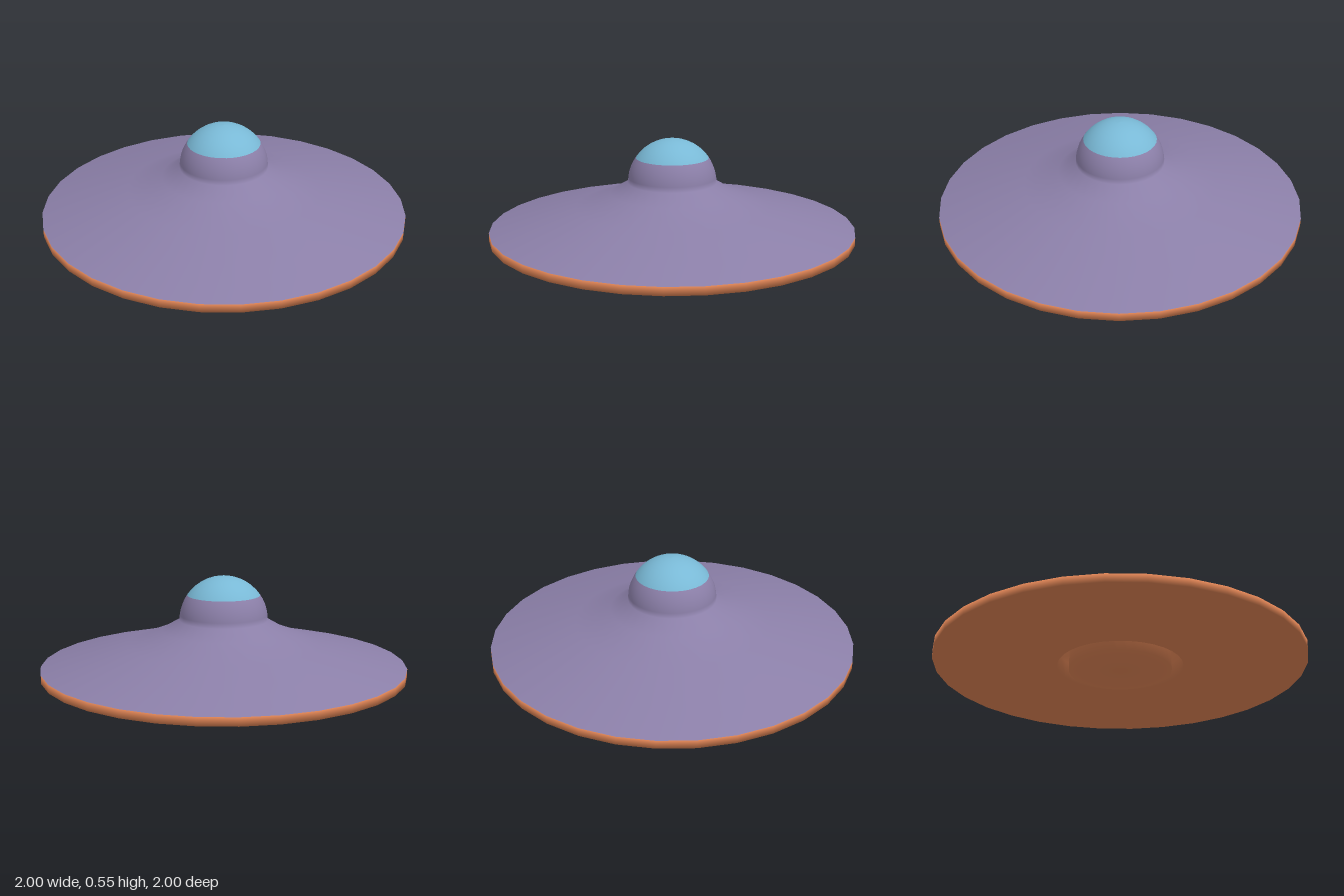
import * as THREE from 'three';

const SEGMENTS = 32;

const purple = new THREE.MeshStandardMaterial({ color: 0x8b7fa8 });
purple.name = 'purple hull';
const orange = new THREE.MeshStandardMaterial({ color: 0xd98052 });
orange.name = 'orange trim';
const blue = new THREE.MeshStandardMaterial({ color: 0x79b9d6 });
blue.name = 'blue glass';

// Points on the cabin sphere between two elevation angles
const CABIN_Y = 0.312;
const CABIN_R = 0.242;
const GLASS_ANGLE = 0.607;
function cabinArc(from, to, steps) {
  return Array.from({ length: steps + 1 }, (_, i) => {
    const a = from + ((to - from) * i) / steps;
    return [CABIN_R * Math.cos(a), CABIN_Y + CABIN_R * Math.sin(a)];
  });
}

// Each part is a stretch of [radius, height] profile, starting where the last one ends
const PARTS = [
  // Landing hub, sunk in a round well
  ['hub', orange, [[0, 0], [0.276, 0], [0.276, 0.12]]],
  ['hubWell', orange, [[0.276, 0.12], [0.339, 0.12], [0.339, 0.025]]],
  // Flat underside and thin rim band
  ['underside', orange, [[0.339, 0.025], [1, 0.02]]],
  ['rim', orange, [[1, 0.02], [1, 0.065]]],
  // Sloping upper hull
  ['upperHull', purple, [[1, 0.065], [0.53, 0.182], [0.34, 0.255], [0.242, 0.312]]],
  // Round cabin with a glass cap
  ['cabinWall', purple, cabinArc(0, GLASS_ANGLE, 5)],
  ['glassDome', blue, cabinArc(GLASS_ANGLE, Math.PI / 2, 7)],
];

export function createModel() {
  const model = new THREE.Group();
  model.name = 'flyingSaucer';

  // Revolve the whole profile once, so normals flow smoothly from part to part
  const profile = PARTS.flatMap(([, , points], i) => (i ? points.slice(1) : points));
  const body = new THREE.LatheGeometry(profile.map(([r, y]) => new THREE.Vector2(r, y)), SEGMENTS);
  const rows = profile.length - 1;
  const indices = Array.from(body.index.array);

  // Cut the revolved surface into its coloured parts
  let firstRow = 0;
  for (const [name, material, points] of PARTS) {
    const endRow = firstRow + points.length - 1;
    const start = firstRow;
    const geometry = body.clone();
    geometry.setIndex(indices.filter((_, k) => {
      const row = Math.floor(k / 6) % rows;
      return row >= start && row < endRow;
    }));
    const mesh = new THREE.Mesh(geometry, material);
    mesh.name = name;
    model.add(mesh);
    firstRow = endRow;
  }

  return model;
}
